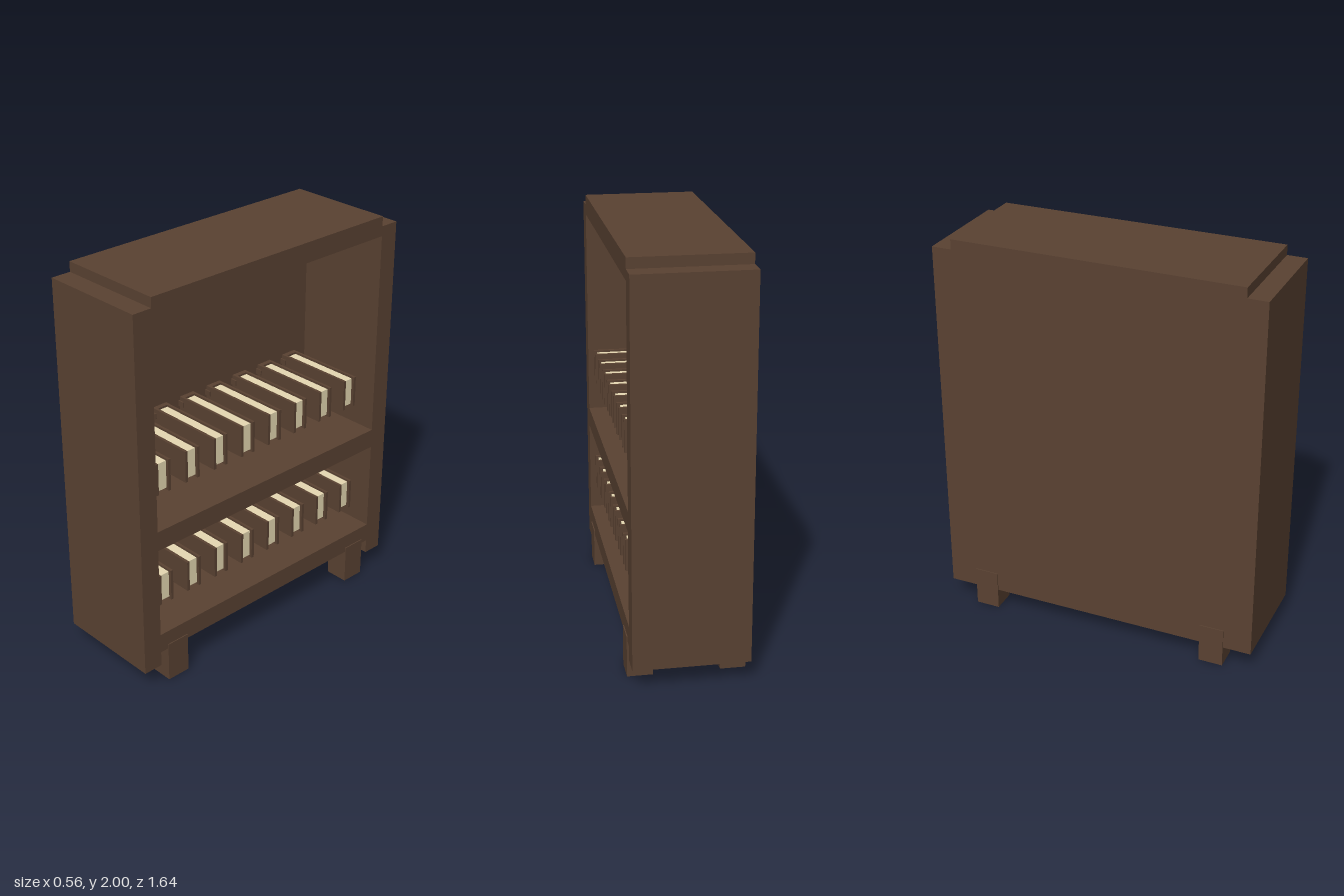
import * as THREE from 'three';

export function createModel() {
  const root = new THREE.Group();
  root.name = 'bookcase';
  const wood = new THREE.MeshStandardMaterial({ color: 0x5a4232 });
  wood.name = 'dark wood';
  const paper = new THREE.MeshStandardMaterial({ color: 0xf0e2ba });
  paper.name = 'cream paper';

  // Box given by its low and high limits on each axis
  function box(parent, name, mat, [x0, x1], [y0, y1], [z0, z1]) {
    const mesh = new THREE.Mesh(new THREE.BoxGeometry(x1 - x0, y1 - y0, z1 - z0), mat);
    mesh.position.set((x0 + x1) / 2, (y0 + y1) / 2, (z0 + z1) / 2);
    mesh.name = name;
    parent.add(mesh);
    return mesh;
  }

  // Carcass, open towards +x
  const W = 0.277, back = -0.217, inner = 0.72;
  box(root, 'backPanel', wood, [-W, back], [0.105, 2], [-inner, inner]);
  box(root, 'topBoard', wood, [back, W], [1.9, 2], [-inner, inner]);
  box(root, 'middleShelf', wood, [back, W], [0.75, 0.85], [-inner, inner]);
  box(root, 'bottomShelf', wood, [back, W], [0.18, 0.28], [-inner, inner]);
  box(root, 'leftSidePanel', wood, [-W, W], [0.105, 1.95], [inner, 0.82]);
  box(root, 'rightSidePanel', wood, [-W, W], [0.105, 1.95], [-0.82, -inner]);

  // Feet, standing slightly proud of the carcass
  for (const sx of [-1, 1]) {
    for (const sz of [-1, 1]) {
      const foot = box(root, 'foot', wood, [0.16, 0.282], [0, 0.205], [0.555, 0.678]);
      foot.position.x *= sx;
      foot.position.z *= sz;
    }
  }

  // One book: spine at the back, page edges towards the open side
  function book(y, z) {
    const g = new THREE.Group();
    g.name = 'book';
    for (const s of [-1, 1]) {
      const cover = box(g, 'cover', wood, [-0.16, 0.25], [-0.08, 0.08], [0.029, 0.043]);
      cover.position.z *= s;
      // Raised bands at the spine
      box(g, 'spineBand', wood, [-0.19, -0.155], [s * 0.045 - 0.014, s * 0.045 + 0.014], [-0.05, 0.05]);
    }
    box(g, 'spine', wood, [-0.185, -0.16], [-0.08, 0.08], [-0.043, 0.043]);
    box(g, 'pages', paper, [-0.16, 0.235], [-0.07, 0.07], [-0.029, 0.029]);
    g.position.set(0, y, z);
    root.add(g);
  }
  for (const y of [0.505, 1.1]) {
    for (let i = 0; i < 8; i++) book(y, 0.655 - i * 0.1745);
  }

  return root;
}
